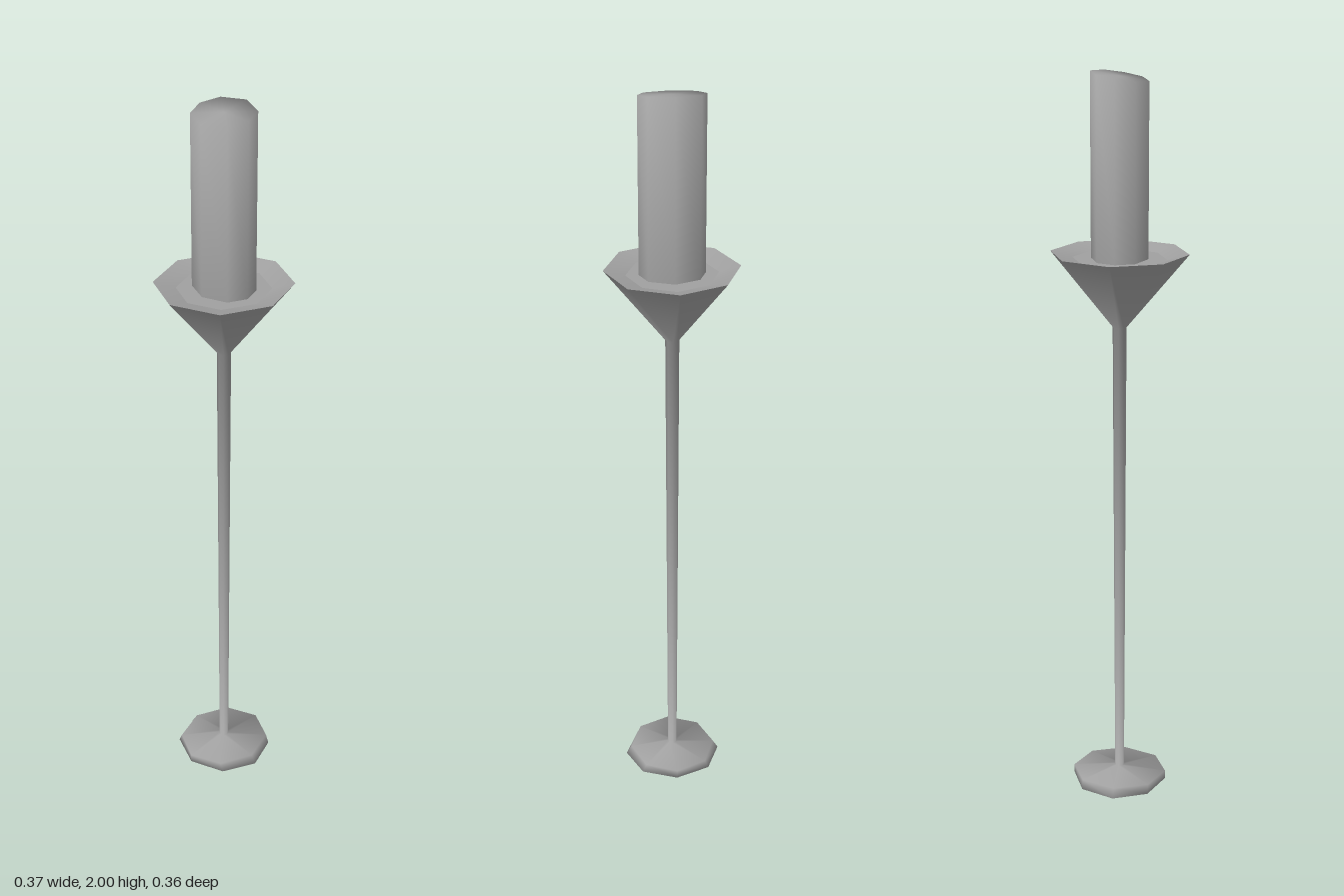
import * as THREE from 'three';
import { toCreasedNormals } from 'three/addons/utils/BufferGeometryUtils.js';

const SIDES = 8;
const material = new THREE.MeshStandardMaterial({ color: 0xa0a0a0 });

// Smooth eight-sided turned part from [radius, y] pairs listed upwards along the outside;
// a rule moves each vertex. Normals are made at 100x, as the helper merges on a coarse grid.
function turned(name, profile, move) {
  const points = profile.map(([r, y]) => new THREE.Vector2(r, y));
  const geometry = new THREE.LatheGeometry(points, SIDES);
  const pos = geometry.attributes.position;
  const v = new THREE.Vector3();
  for (let i = 0; i < pos.count; i++) {
    v.fromBufferAttribute(pos, i);
    move(v);
    pos.setXYZ(i, v.x, v.y, v.z);
  }
  geometry.scale(100, 100, 100);
  const smooth = toCreasedNormals(geometry, Math.PI).scale(0.01, 0.01, 0.01);
  const mesh = new THREE.Mesh(smooth, material);
  mesh.name = name;
  return mesh;
}

export function createModel() {
  const group = new THREE.Group();
  group.name = 'candlestick';
  const flattenCup = (v) => { v.z *= 0.97; };

  // Low foot, slender stem and conical cup in one continuous smooth surface
  const standProfile = [
    [0, 0], [0.132, 0], [0.132, 0.024], [0.0128, 0.036], [0.0186, 1.335], [0.184, 1.535],
  ];
  group.add(turned('stand', standProfile, (v) => {
    if (v.y < 0.01) v.z *= 1.03;
    else if (v.y < 0.03) v.z *= 0.92;
    else if (v.y > 1.5) flattenCup(v);
  }));

  // Shallow dish on top of the cup: sloping rim and flat floor
  group.add(turned('dishRim', [[0.184, 1.535], [0.125, 1.52]], flattenCup));
  group.add(turned('dishFloor', [[0.125, 1.52], [0, 1.52]], flattenCup));

  // Candle, slightly oval with fuller diagonals and a slanted top
  group.add(turned('candle', [[0.076, 1.515], [0.076, 1.988], [0, 1.988]], (v) => {
    const diagonal = Math.abs(v.x) > 0.02 && Math.abs(v.z) > 0.02;
    v.x *= diagonal ? 0.93 : 1;
    v.z *= diagonal ? 1.24 : 1.14;
    if (v.y > 1.8) v.y += v.x * 0.16;
  }));

  return group;
}
